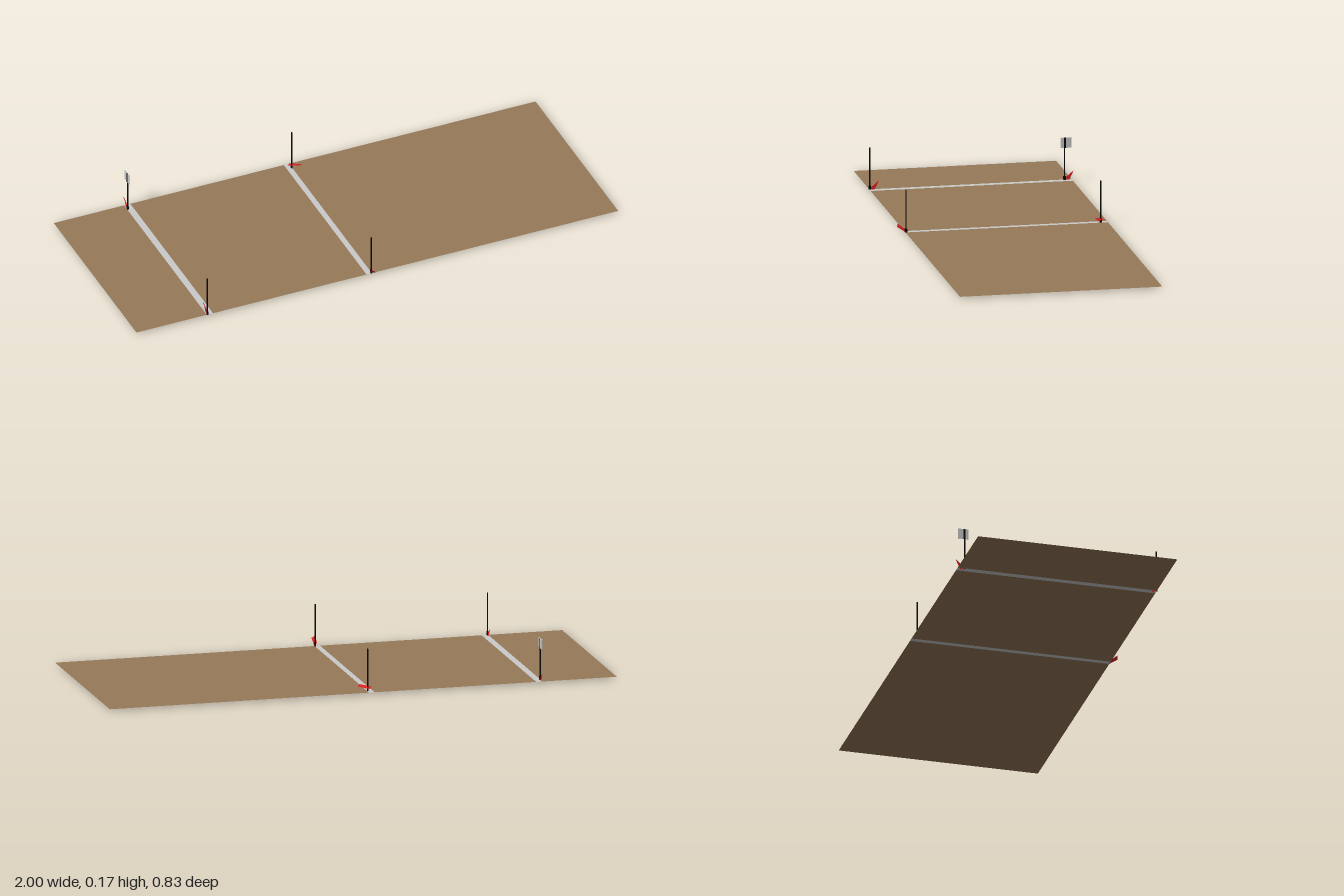
import * as THREE from 'three';

const paint = (name, color) => {
  const m = new THREE.MeshStandardMaterial({ color, side: THREE.DoubleSide });
  m.name = name;
  return m;
};

export function createModel() {
  const group = new THREE.Group();
  const earth = paint('earth brown', 0x967a59);
  const chalk = paint('chalk grey', 0xcacaca);
  const black = paint('post black', 0x080808);
  const red = paint('flag red', 0xdd2222);
  const groundY = 0.01, zBack = -0.406, zFront = 0.38;

  const add = (name, geometry, material, x = 0, y = 0, z = 0) => {
    const mesh = new THREE.Mesh(geometry, material);
    mesh.name = name;
    mesh.position.set(x, y, z);
    group.add(mesh);
    return mesh;
  };

  // Flat ground, divided into lengths so the lines lie flush in it
  const cuts = [-1, -0.708, -0.682, -0.045, -0.023, 1];
  for (let i = 0; i < cuts.length - 1; i++) {
    const strip = new THREE.PlaneGeometry(cuts[i + 1] - cuts[i], zFront - zBack).rotateX(-Math.PI / 2);
    const isLine = i % 2 === 1;
    add(isLine ? 'groundLine' : 'ground', strip, isLine ? chalk : earth,
      (cuts[i] + cuts[i + 1]) / 2, groundY, (zFront + zBack) / 2);
  }

  // Limp flag: a strip rising outwards, with a narrow fold along its upper edge.
  // Corners are [along, up, across]; the flag is turned about its post.
  const flag = (x, z, turn, corners, fold) => {
    const tri = (a, b, c) => [...a, ...b, ...c];
    const [a, b, c, d] = corners;
    const data = [...tri(a, b, c), ...tri(a, c, d), ...tri(d, c, fold)];
    const g = new THREE.BufferGeometry();
    g.setAttribute('position', new THREE.Float32BufferAttribute(data, 3));
    g.computeVertexNormals();
    add('flag', g, red, x, 0, z).rotation.y = turn;
  };
  const hanging = [[-0.001, 0.014, 0], [0.015, 0.002, 0], [0.034, 0.041, 0], [0.008, 0.022, 0.002]];
  const raised = [[0, 0.010, -0.003], [0.003, 0.021, 0.008], [0.031, 0.044, 0.008], [0.036, 0.034, -0.005]];
  const spread = [[-0.012, 0.021, -0.012], [-0.012, 0.026, 0.010], [0.036, 0.032, 0.009], [0.040, 0.026, -0.007]];

  // Posts in two pairs, each with a small foot
  for (const x of [-0.705, -0.025]) {
    for (const z of [-0.378, 0.378]) {
      add('post', new THREE.BoxGeometry(0.004, 0.165, 0.004), black, x, 0.0925, z);
      add('postFoot', new THREE.BoxGeometry(0.005, 0.014, 0.009), black, x, 0.017, z);
    }
  }
  for (const z of [-0.378, 0.378]) {
    flag(-0.705, z, Math.PI / 2, hanging, [0.035, 0.044, -0.004]);
  }
  flag(-0.025, 0.378, -Math.PI / 2, raised, [0.012, 0.02, -0.003]);
  flag(-0.025, -0.378, -0.6, spread, [0, 0.02, -0.004]);

  // Square sign with a dark upright mark, on the rear outer post
  add('signPanel', new THREE.BoxGeometry(0.003, 0.04, 0.041), chalk, -0.705, 0.155, -0.384);
  add('signMark', new THREE.BoxGeometry(0.005, 0.04, 0.007), black, -0.705, 0.155, -0.379);

  return group;
}
